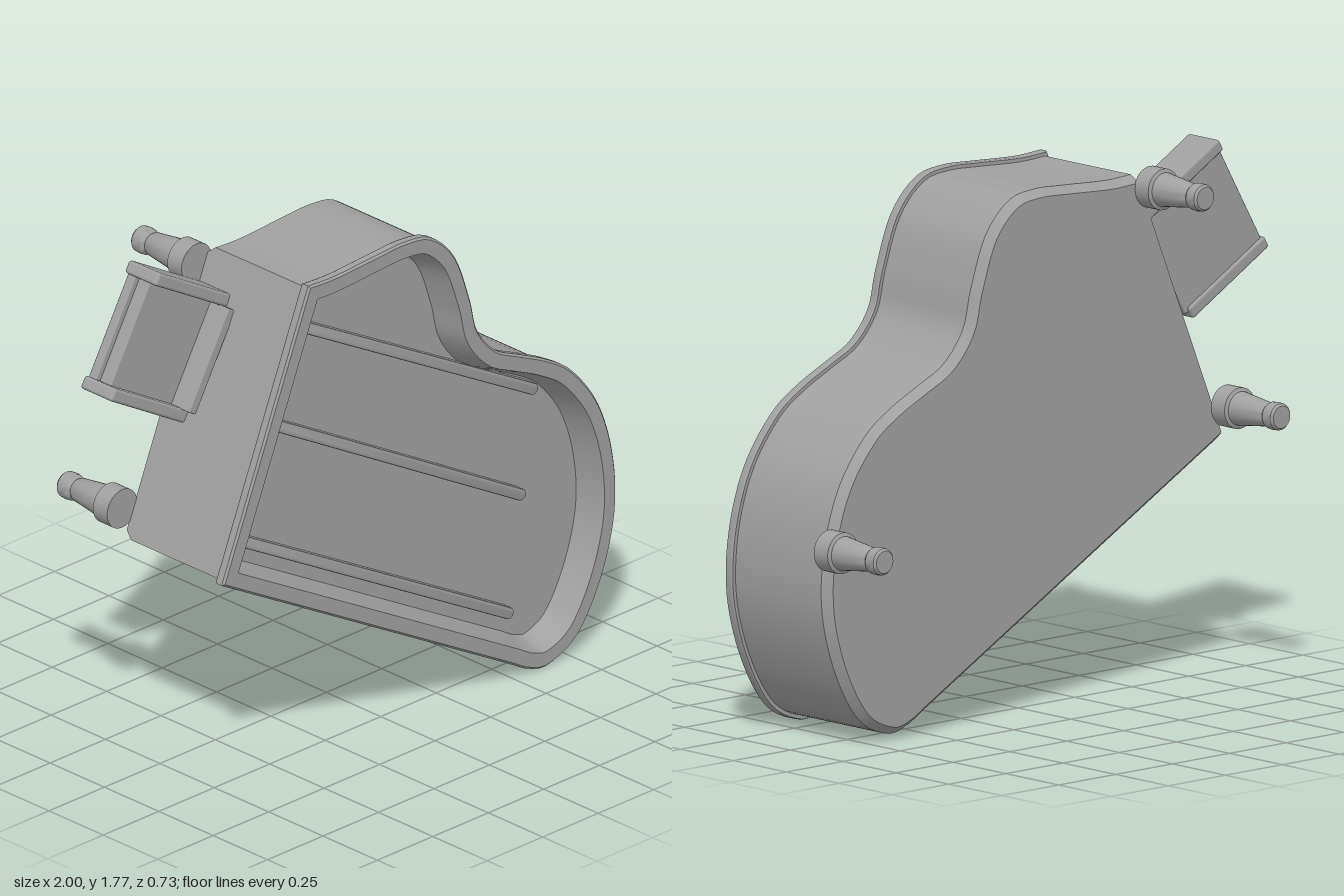
import * as THREE from 'three';
import { toCreasedNormals } from 'three/addons/utils/BufferGeometryUtils.js';
import { RoundedBoxGeometry } from 'three/addons/geometries/RoundedBoxGeometry.js';

const TILT = -Math.PI / 6;

// Clockwise outline: curved side, then the straight long side and the straight keyboard end
function caseOutline() {
  const curve = new THREE.SplineCurve([
    [-0.43, 1.73], [-0.31, 1.725], [-0.13, 1.735], [0.01, 1.74], [0.125, 1.715], [0.23, 1.61],
    [0.297, 1.437], [0.33, 1.314], [0.41, 1.218], [0.516, 1.165], [0.64, 1.106], [0.757, 1.026],
    [0.874, 0.871], [0.94, 0.673], [0.95, 0.46], [0.89, 0.246], [0.783, 0.075], [0.65, 0.01],
    [0.56, 0.026], [0.49, 0.064],
  ].map(([x, y]) => new THREE.Vector2(x, y)));
  return [...curve.getSpacedPoints(90), new THREE.Vector2(-0.82, 0.79)];
}

// Moves every edge inward by d; the closing edge (keyboard end) moves by endD
function inset(points, d, endD = d) {
  const n = points.length;
  const normal = (i) => {
    const a = points[i], b = points[(i + 1) % n];
    return new THREE.Vector2(b.y - a.y, a.x - b.x).normalize();
  };
  return points.map((p, i) => {
    const prev = (i + n - 1) % n;
    const n1 = normal(prev), n2 = normal(i);
    const d1 = prev === n - 1 ? endD : d, d2 = i === n - 1 ? endD : d;
    const det = n1.cross(n2);
    if (Math.abs(det) < 0.3) {
      const m = n1.clone().add(n2);
      return p.clone().addScaledVector(m, (d1 + d2) / m.lengthSq());
    }
    return new THREE.Vector2(p.x + (d1 * n2.y - d2 * n1.y) / det, p.y + (n1.x * d2 - n2.x * d1) / det);
  });
}

// Skin through outline rings from the back face, around the lip and down to the sunken floor
function caseGeometry() {
  const outline = caseOutline();
  const rings = [
    [-0.11, 0.04, 0.015], [-0.08, 0.015], [0.325, 0.015], [0.325, 0.003], [0.332, 0],
    [0.355, 0], [0.362, 0.007], [0.362, 0.055], [0.262, 0.085],
  ].map(([z, d, endD]) => inset(outline, d, endD).map((p) => new THREE.Vector3(p.x, p.y, z)));
  const position = [];
  const tri = (...corners) => corners.forEach((c) => position.push(c.x, c.y, c.z));
  for (let k = 0; k < rings.length - 1; k++) {
    for (let i = 0; i < outline.length; i++) {
      const j = (i + 1) % outline.length;
      tri(rings[k][i], rings[k + 1][i], rings[k][j]);
      tri(rings[k][j], rings[k + 1][i], rings[k + 1][j]);
    }
  }
  const cap = (ring, facing) => {
    for (const t of THREE.ShapeUtils.triangulateShape(ring, [])) {
      const [a, b, c] = t.map((i) => ring[i]);
      const area = (b.x - a.x) * (c.y - a.y) - (b.y - a.y) * (c.x - a.x);
      if (area * facing > 0) tri(a, b, c);
      else tri(a, c, b);
    }
  };
  cap(rings[0], -1);
  cap(rings[rings.length - 1], 1);
  const geometry = new THREE.BufferGeometry();
  geometry.setAttribute('position', new THREE.Float32BufferAttribute(position, 3));
  return toCreasedNormals(geometry, 0.4);
}

// Long bar with round ends and softened top edge
function ribGeometry(length, radius) {
  const h = length / 2 - radius;
  const shape = new THREE.Shape();
  shape.absarc(h, 0, radius, -Math.PI / 2, Math.PI / 2);
  shape.absarc(-h, 0, radius, Math.PI / 2, Math.PI * 1.5);
  const geometry = new THREE.ExtrudeGeometry(shape, {
    depth: 0.04, bevelThickness: 0.006, bevelSize: 0.006, bevelOffset: -0.006, bevelSegments: 2, curveSegments: 8,
  });
  return toCreasedNormals(geometry, 0.6);
}

export function createModel() {
  const model = new THREE.Group();
  model.name = 'grandPianoPart';
  const grey = new THREE.MeshStandardMaterial({ color: 0xa0a0a0 });
  grey.name = 'grey';
  const add = (parent, name, geometry, x = 0, y = 0, z = 0) => {
    const mesh = new THREE.Mesh(geometry, grey);
    mesh.name = name;
    mesh.position.set(x, y, z);
    parent.add(mesh);
    return mesh;
  };

  add(model, 'case', caseGeometry());

  // Ribs on the sunken floor
  for (const [x1, y1, x2, y2] of [
    [-0.375, 1.54, 0.665, 0.965], [-0.535, 1.25, 0.61, 0.605], [-0.71, 0.9, 0.555, 0.2],
  ]) {
    const rib = add(model, 'rib', ribGeometry(Math.hypot(x2 - x1, y2 - y1), 0.02), (x1 + x2) / 2, (y1 + y2) / 2, 0.25);
    rib.rotation.z = Math.atan2(y2 - y1, x2 - x1);
  }

  // Turned legs pointing backwards
  const legProfile = [
    [0, 0], [0.068, 0], [0.068, 0.065], [0.056, 0.07], [0.054, 0.085], [0.04, 0.195], [0.034, 0.205],
    [0.044, 0.217], [0.046, 0.235], [0.044, 0.255], [0.037, 0.263], [0, 0.263],
  ].map(([r, h]) => new THREE.Vector2(r, h));
  const legGeometry = toCreasedNormals(new THREE.LatheGeometry(legProfile, 28), 0.5);
  for (const [x, y] of [[-0.48, 1.67], [-0.815, 0.905], [0.928, 0.67]]) {
    add(model, 'leg', legGeometry, x, y, -0.107).rotation.x = -Math.PI / 2;
  }

  // Keyboard shelf, built square and tilted with the case
  const keyboard = new THREE.Group();
  keyboard.name = 'keyboard';
  keyboard.rotation.z = TILT;
  model.add(keyboard);
  const block = (name, u1, u2, v1, v2, z1, z2, r = 0.004) => add(
    keyboard, name, new RoundedBoxGeometry(u2 - u1, v2 - v1, z2 - z1, 2, r),
    (u1 + u2) / 2, (v1 + v2) / 2, (z1 + z2) / 2,
  );
  block('keyBed', -1.56, -1.17, 0.74, 1.13, -0.1, -0.065);
  block('keys', -1.54, -1.17, 0.745, 1.125, -0.067, -0.015);
  for (const v of [0.733, 1.132]) block('cheekBar', -1.57, -1.185, v - 0.022, v + 0.022, -0.11, 0.035, 0.01);
  block('fallboard', -1.225, -1.19, 0.752, 1.112, -0.1, 0.068);

  return model;
}
